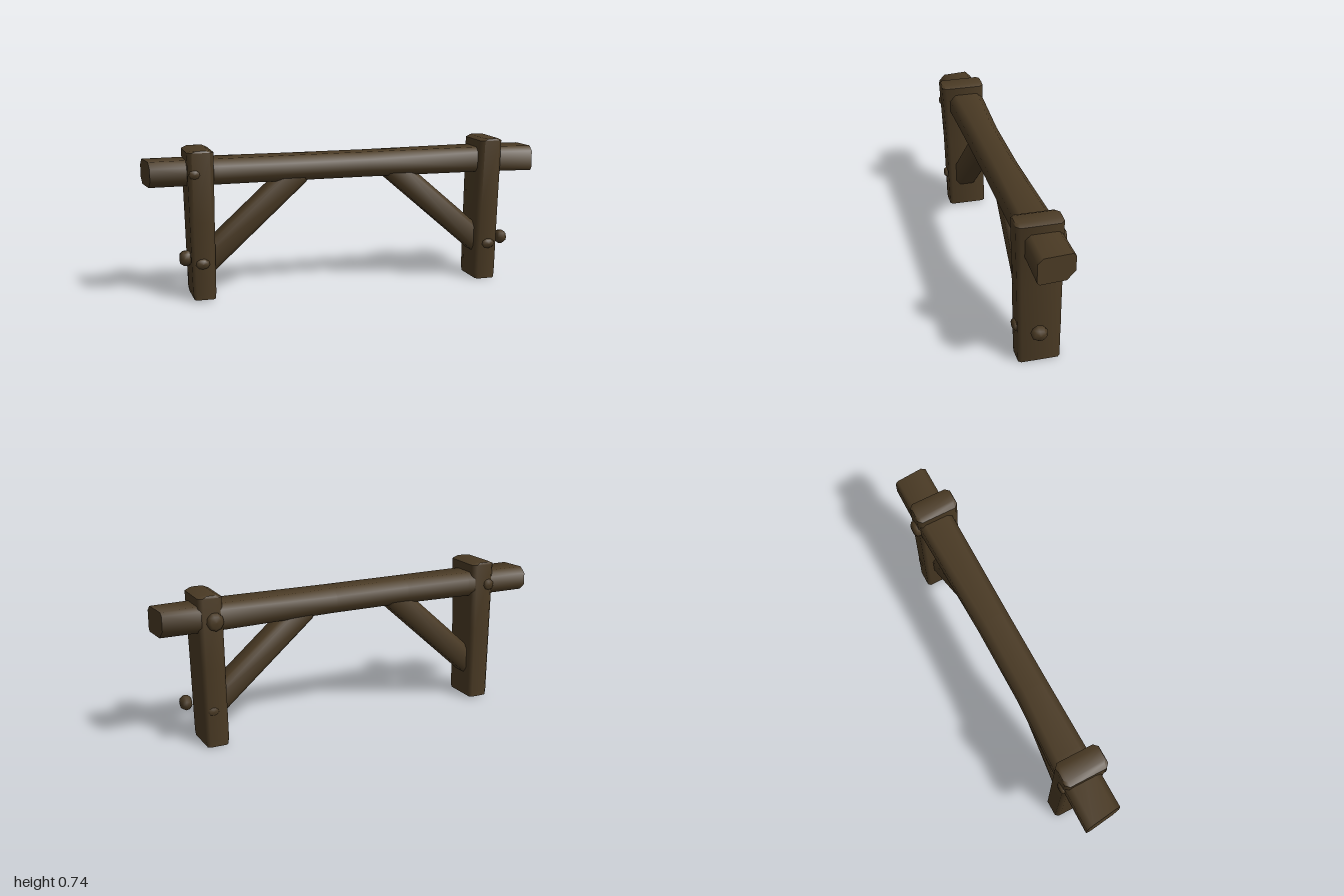
import * as THREE from 'three';
import { toCreasedNormals } from 'three/addons/utils/BufferGeometryUtils.js';

const wood = new THREE.MeshStandardMaterial({ color: 0x4a3a24 });
wood.name = 'darkWood';

// Rectangle [u0,u1] x [v0,v1] with corners cut by c (one cut per corner, counter-clockwise)
function section(u0, u1, v0, v1, c) {
  const [a, b, d, e] = Array.isArray(c) ? c : [c, c, c, c];
  return [
    [u0 + a, v0], [u1 - b, v0], [u1, v0 + b], [u1, v1 - d],
    [u1 - d, v1], [u0 + e, v1], [u0, v1 - e], [u0, v0 + a],
  ];
}

// Skin a list of equal-length rings and close both ends
function loft(rings) {
  const n = rings[0].length;
  const pos = rings.flat(2);
  const index = [];
  for (let r = 0; r < rings.length - 1; r++) {
    for (let i = 0; i < n; i++) {
      const a = r * n + i, b = r * n + (i + 1) % n;
      index.push(a, b, b + n, a, b + n, a + n);
    }
  }
  const last = (rings.length - 1) * n;
  for (let i = 1; i < n - 1; i++) {
    index.push(0, i + 1, i);
    index.push(last, last + i, last + i + 1);
  }
  const g = new THREE.BufferGeometry();
  g.setAttribute('position', new THREE.Float32BufferAttribute(pos, 3));
  g.setIndex(index);
  return toCreasedNormals(g, 0.85);
}

function add(group, name, geometry) {
  const mesh = new THREE.Mesh(geometry, wood);
  mesh.name = name;
  group.add(mesh);
  return mesh;
}

// Upright post, tapering towards the foot, with a softly bevelled head
function post(x0, x1, top0, top1, zTop, foot) {
  const ring = (y, a, b, back, front, c, crown = 0) =>
    section(back, front, a, b, c).map(([z, x]) => [x, y - crown * z * z, z]);
  return loft([
    ring(foot, x0 + 0.006, x1 - 0.004, -0.104, 0.094, 0.012),
    ring(foot + 0.03, x0, x1, -0.104, 0.096, 0.016),
    ring(0.4, (x0 + top0) / 2, (x1 + top1) / 2, -0.103, 0.106, 0.018),
    ring(0.732, top0, top1, -0.102, zTop, 0.02),
    ring(0.747, top0 + 0.025, top1 - 0.025, -0.098, zTop - 0.004, 0.015, 0.4),
  ]);
}

// Crossbar along x: [x, bottom, top, back, front, corner cuts, end slant in z]
function crossbar() {
  const stations = [
    [-0.985, 0.568, 0.69, -0.1, 0.085, 0.03, 0.13],
    [-0.65, 0.568, 0.692, -0.097, 0.085, 0.032, 0],
    [-0.3, 0.568, 0.693, -0.081, 0.082, 0.035, 0],
    [0.1, 0.568, 0.693, -0.081, 0.08, 0.035, 0],
    [0.7, 0.566, 0.695, -0.095, 0.078, 0.025, 0],
    [0.99, 0.563, 0.69, -0.095, 0.078, [0.04, 0.015, 0.025, 0.012], 0.08],
  ];
  return loft(stations.map(([x, y0, y1, z0, z1, c, slant]) =>
    section(y0, y1, z0, z1, c).map(([y, z]) => [x + slant * z, y, z])));
}

// Straight brace between two points in the xy plane
function brace(ax, ay, bx, by) {
  const len = Math.hypot(bx - ax, by - ay);
  const ring = (x, s) => section(-0.06 * s, 0.06 * s, -0.06 * s, 0.06 * s, 0.022)
    .map(([y, z]) => [x, y, z]);
  const g = loft([ring(0, 0.95), ring(0.02, 1), ring(len - 0.02, 1), ring(len, 0.97)]);
  g.rotateZ(Math.atan2(by - ay, bx - ax));
  g.translate(ax, ay, 0);
  return g;
}

// Rounded peg head whose axis is x or z
function peg(group, name, axis, at, radius, height, depth) {
  const profile = [[0, -1], [0.65, -0.9], [0.95, -0.45], [1, 0.2], [0.7, 0.85], [0, 1]]
    .map(([r, y]) => new THREE.Vector2(r, y));
  const g = new THREE.LatheGeometry(profile, 9);
  if (axis === 'z') {
    g.rotateX(Math.PI / 2).scale(radius, height, depth);
  } else {
    g.rotateZ(-Math.PI / 2).scale(depth, height, radius);
  }
  add(group, name, g).position.set(...at);
}

export function createModel() {
  const model = new THREE.Group();
  model.name = 'hitchingRail';

  add(model, 'rightPost', post(-0.788, -0.676, -0.803, -0.676, 0.124, 0.012));
  add(model, 'leftPost', post(0.684, 0.798, 0.692, 0.81, 0.118, 0.004));
  add(model, 'crossbar', crossbar());
  add(model, 'rightBrace', brace(-0.74, 0.16, -0.24, 0.61));
  add(model, 'leftBrace', brace(0.24, 0.61, 0.74, 0.18));

  // Peg heads on the front, back and outer faces
  peg(model, 'frontPegRight', 'z', [-0.74, 0.193, 0.1], 0.034, 0.026, 0.018);
  peg(model, 'frontPegLeft', 'z', [0.75, 0.193, 0.1], 0.034, 0.026, 0.018);
  peg(model, 'upperFrontPeg', 'z', [-0.77, 0.63, 0.112], 0.028, 0.024, 0.016);
  peg(model, 'upperBackPegLeft', 'z', [0.735, 0.62, -0.104], 0.042, 0.045, 0.024);
  peg(model, 'upperBackPegRight', 'z', [-0.768, 0.625, -0.1], 0.03, 0.03, 0.016);
  peg(model, 'lowerBackPeg', 'z', [0.76, 0.183, -0.098], 0.028, 0.022, 0.011);
  peg(model, 'outerPegRight', 'x', [-0.808, 0.21, 0.025], 0.04, 0.039, 0.034);
  peg(model, 'outerPegLeft', 'x', [0.857, 0.205, 0.018], 0.04, 0.037, 0.027);

  return model;
}
